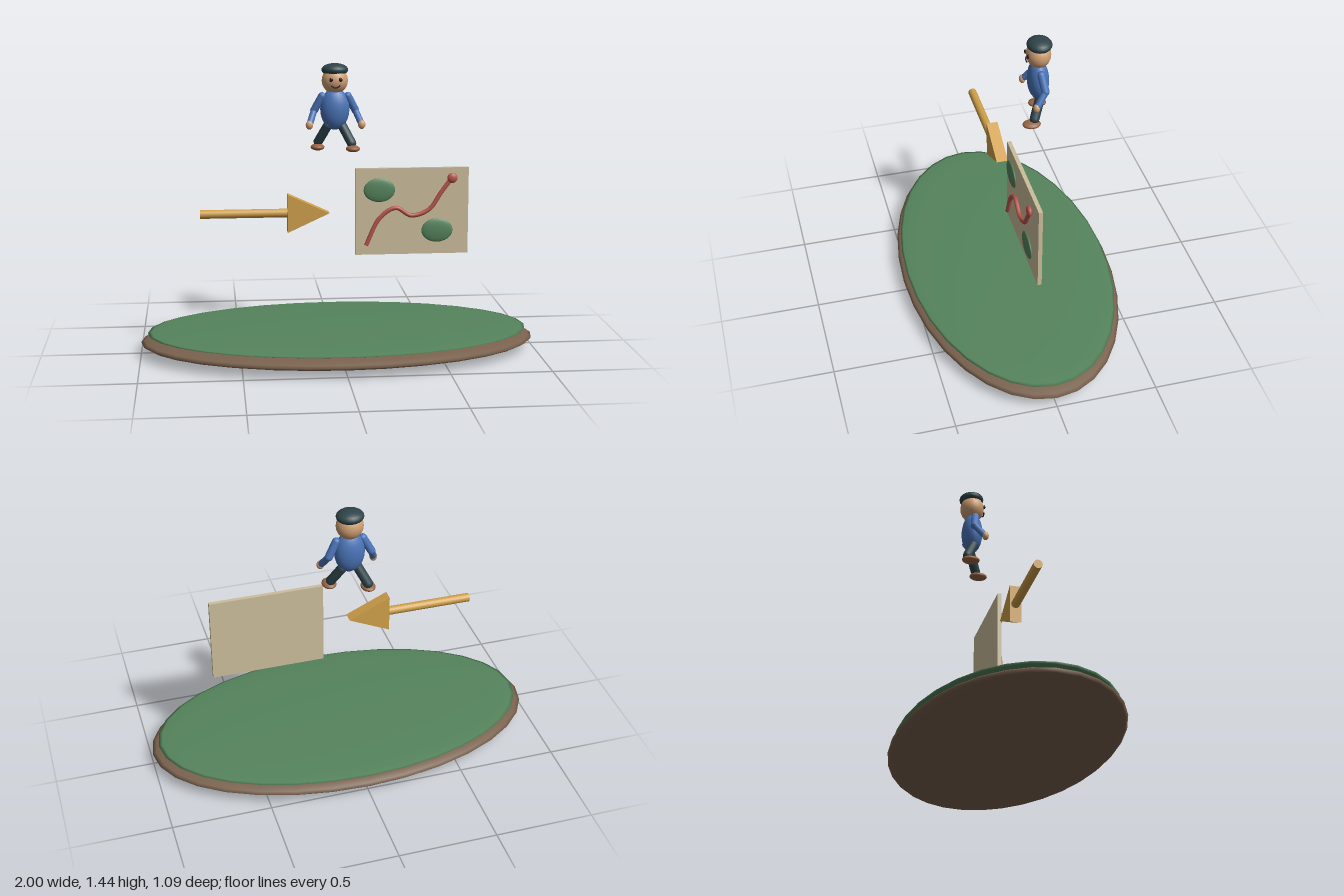
import * as THREE from 'three';

const V = (x, y, z) => new THREE.Vector3(x, y, z);
const mat = (color) => new THREE.MeshStandardMaterial({ color });
const colors = {
  grass: mat(0x55845c), soil: mat(0x7a624e), gold: mat(0xd0a04a), paper: mat(0xcdbf9c),
  red: mat(0xb9564c), skin: mat(0xd0a074), shirt: mat(0x4a74b8), dark: mat(0x2e444a),
  shoe: mat(0x9a6645), black: mat(0x1c1c1e),
};

export function createModel() {
  const model = new THREE.Group();

  function add(parent, name, geometry, material, pos = [0, 0, 0]) {
    const mesh = new THREE.Mesh(geometry, material);
    mesh.name = name;
    mesh.position.set(...pos);
    parent.add(mesh);
    return mesh;
  }
  function ellipsoid(parent, name, material, pos, radii, seg = 24) {
    const geometry = new THREE.SphereGeometry(1, seg, Math.max(10, seg / 2)).scale(...radii);
    return add(parent, name, geometry, material, pos);
  }
  // Capsule running between two points
  function limb(parent, name, material, a, b, radius) {
    const dir = b.clone().sub(a);
    const mesh = add(parent, name, new THREE.CapsuleGeometry(radius, dir.length(), 6, 14), material);
    mesh.position.copy(a).add(b).multiplyScalar(0.5);
    mesh.quaternion.setFromUnitVectors(V(0, 1, 0), dir.normalize());
    return mesh;
  }
  function group(name) {
    const g = new THREE.Group();
    g.name = name;
    model.add(g);
    return g;
  }

  // Oval island
  const island = group('island');
  ellipsoid(island, 'soil', colors.soil, [0, 0.058, 0], [1, 0.058, 0.545], 32);
  ellipsoid(island, 'grass', colors.grass, [0, 0.105, 0], [0.965, 0.018, 0.525], 32);

  // Arrow pointing at the map
  const arrow = group('arrow');
  const shaft = new THREE.CylinderGeometry(0.022, 0.022, 0.44, 20).rotateZ(Math.PI / 2);
  add(arrow, 'arrowShaft', shaft, colors.gold, [-0.472, 0.71, 0]);
  const tip = new THREE.Shape([[-0.255, 0.613], [-0.045, 0.71], [-0.255, 0.807]]
    .map(([x, y]) => new THREE.Vector2(x, y)));
  const head = new THREE.ExtrudeGeometry(tip, { depth: 0.058, bevelEnabled: false });
  add(arrow, 'arrowHead', head, colors.gold, [0, 0, -0.029]);

  // Map board with two woods, a route and its end marker
  const map = group('map');
  add(map, 'mapBoard', new THREE.BoxGeometry(0.575, 0.442, 0.02), colors.paper, [0.375, 0.71, 0]);
  for (const [x, y] of [[0.207, 0.822], [0.502, 0.612]]) {
    ellipsoid(map, 'woodPatch', colors.grass, [x, y, 0.02], [0.08, 0.061, 0.012]);
  }
  const route = new THREE.CatmullRomCurve3([
    [0.14, 0.54], [0.21, 0.68], [0.29, 0.73], [0.37, 0.69], [0.46, 0.72], [0.52, 0.805], [0.575, 0.88],
  ].map(([x, y]) => V(x, y, 0.021)));
  add(map, 'route', new THREE.TubeGeometry(route, 60, 0.011, 10), colors.red);
  ellipsoid(map, 'routeMarker', colors.red, [0.575, 0.88, 0.032], [0.026, 0.026, 0.014]);

  // Walking figure
  const figure = group('figure');
  ellipsoid(figure, 'torso', colors.shirt, [0, 1.213, -0.167], [0.075, 0.108, 0.053]);
  ellipsoid(figure, 'head', colors.skin, [0, 1.357, -0.168], [0.067, 0.068, 0.061]);
  ellipsoid(figure, 'cap', colors.dark, [0, 1.411, -0.172], [0.068, 0.033, 0.062]);
  const smile = new THREE.QuadraticBezierCurve3(
    V(-0.022, 1.336, -0.11), V(0, 1.314, -0.106), V(0.022, 1.336, -0.11));
  add(figure, 'smile', new THREE.TubeGeometry(smile, 14, 0.0035, 8), colors.black);

  for (const side of [1, -1]) {
    ellipsoid(figure, 'eye', colors.black, [side * 0.024, 1.365, -0.109], [0.009, 0.011, 0.006], 14);

    // Arm, bent at the elbow with the hand forward
    const elbow = V(side * 0.105, 1.205, -0.176);
    const wrist = V(side * 0.128, 1.148, -0.135);
    limb(figure, 'upperArm', colors.shirt, V(side * 0.066, 1.278, -0.165), elbow, 0.02);
    limb(figure, 'forearm', colors.shirt, elbow, wrist, 0.017);
    ellipsoid(figure, 'hand', colors.skin, [side * 0.133, 1.136, -0.125], [0.019, 0.023, 0.017], 16);

    // Leg, the left one stepping forward
    const ankleZ = side > 0 ? -0.13 : -0.206;
    limb(figure, 'leg', colors.dark, V(side * 0.038, 1.125, -0.168), V(side * 0.082, 1.04, ankleZ), 0.024);
    ellipsoid(figure, 'shoe', colors.shoe, [side * 0.087, 1.014, ankleZ + 0.016], [0.036, 0.017, 0.046], 18);
  }

  return model;
}
